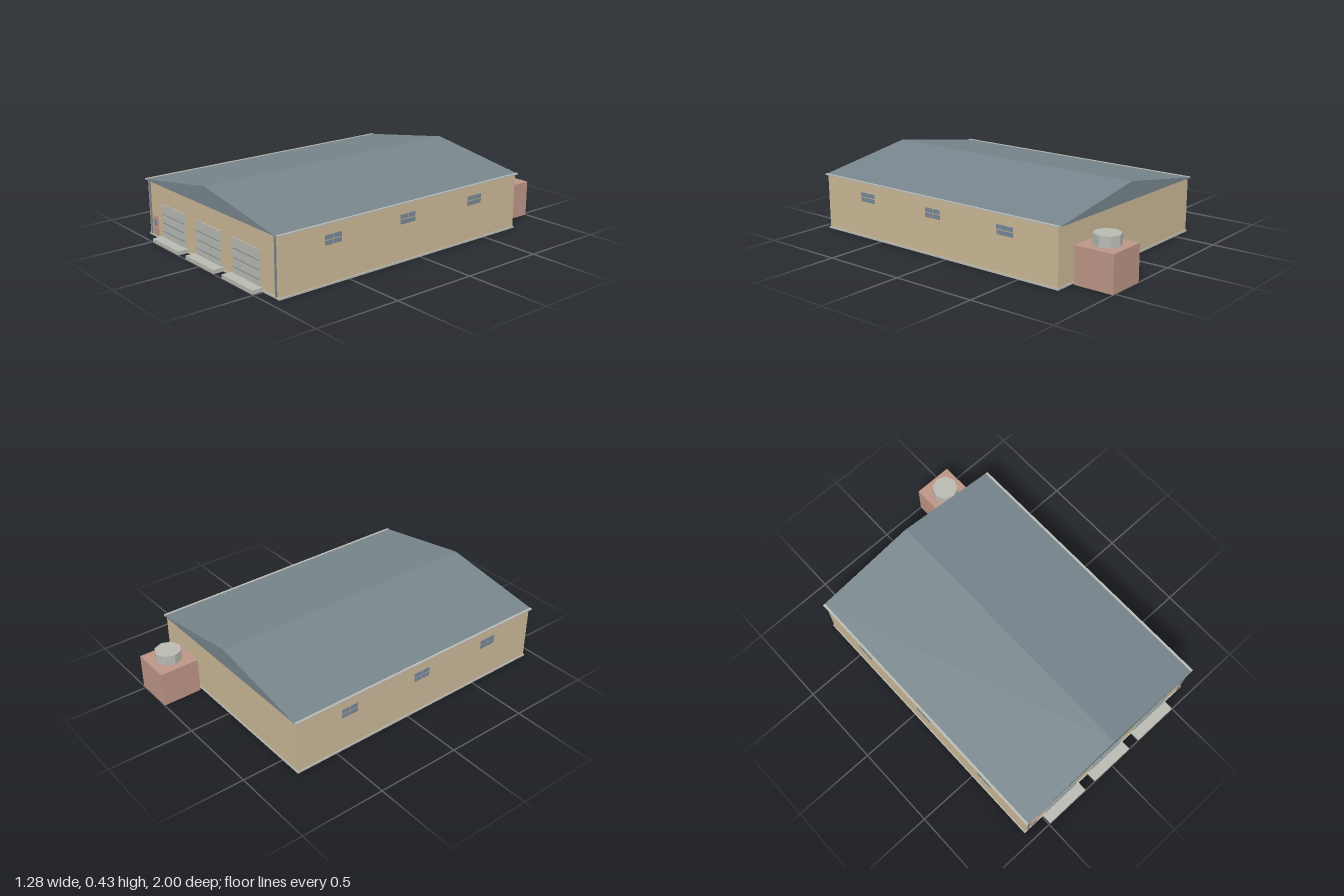
import * as THREE from 'three';

const paint = (name, color) => {
  const m = new THREE.MeshStandardMaterial({ color });
  m.name = name;
  return m;
};

export function createModel() {
  const building = new THREE.Group();
  building.name = 'warehouse';
  const wall = paint('tan wall', 0xc9b796);
  const metal = paint('roof slate', 0x77858c);
  const concrete = paint('pale grey', 0xb8b9b1);
  const brick = paint('dusty red', 0xbc9486);
  const glass = paint('blue grey glass', 0x778896);

  // Box given by its limits on each axis
  const box = (name, mat, [x0, x1], [y0, y1], [z0, z1], parent = building) => {
    const mesh = new THREE.Mesh(new THREE.BoxGeometry(x1 - x0, y1 - y0, z1 - z0), mat);
    mesh.position.set((x0 + x1) / 2, (y0 + y1) / 2, (z0 + z1) / 2);
    mesh.name = name;
    parent.add(mesh);
    return mesh;
  };
  const group = (name) => {
    const g = new THREE.Group();
    g.name = name;
    building.add(g);
    return g;
  };

  // Main hall on a low plinth
  box('plinth', concrete, [-0.636, 0.636], [0, 0.01], [-0.755, 0.942]);
  box('walls', wall, [-0.63, 0.63], [0.01, 0.33], [-0.75, 0.936]);

  // Shallow gable roof
  const gable = new THREE.Shape([
    new THREE.Vector2(-0.641, 0.328),
    new THREE.Vector2(0.641, 0.328),
    new THREE.Vector2(0, 0.432),
  ]);
  const roof = new THREE.Mesh(
    new THREE.ExtrudeGeometry(gable, { depth: 1.714, bevelEnabled: false }), metal);
  roof.position.z = -0.763;
  roof.name = 'roof';
  building.add(roof);

  // Gutters and front downpipes
  for (const s of [-1, 1]) {
    const gx = [0.627, 0.641].map((v) => v * s).sort((a, b) => a - b);
    box('gutter', concrete, gx, [0.325, 0.333], [-0.762, 0.95]);
    box('downpipe', metal, [s * 0.607 - 0.005, s * 0.607 + 0.005], [0.01, 0.328], [0.934, 0.943]);
  }

  // Three loading bays: ribbed shutter and dock slab
  for (const x of [-0.354, 0, 0.354]) {
    const bay = group('loadingBay');
    box('shutter', concrete, [x - 0.12, x + 0.12], [0.008, 0.218], [0.934, 0.941], bay);
    for (const y of [0.058, 0.109, 0.16]) {
      box('shutterSeam', glass, [x - 0.115, x + 0.115], [y - 0.002, y + 0.002], [0.938, 0.943], bay);
    }
    box('dock', concrete, [x - 0.139, x + 0.139], [0, 0.022], [0.936, 1], bay);
  }

  // Staff door with window and handle
  const door = group('staffDoor');
  box('doorLeaf', brick, [-0.583, -0.533], [0.012, 0.128], [0.934, 0.941], door);
  box('doorWindow', glass, [-0.573, -0.543], [0.072, 0.106], [0.938, 0.943], door);
  box('doorHandle', concrete, [-0.544, -0.538], [0.059, 0.065], [0.938, 0.945], door);

  // Four-pane windows along both sides
  for (const s of [-1, 1]) {
    for (const z of [0.6, 0.095, -0.41]) {
      const win = group('sideWindow');
      for (const dz of [-0.028, 0.028]) {
        for (const [y0, y1] of [[0.215, 0.239], [0.244, 0.268]]) {
          box('pane', glass, [s * 0.631 - 0.003, s * 0.631 + 0.003], [y0, y1],
            [z + dz - 0.025, z + dz + 0.025], win);
        }
      }
    }
  }

  // Rear equipment block with an octagonal vent
  box('equipmentBlock', brick, [0.284, 0.518], [0, 0.21], [-1, -0.766]);
  const vent = new THREE.Mesh(new THREE.CylinderGeometry(0.077, 0.077, 0.06, 8), concrete);
  vent.material.flatShading = true;
  vent.position.set(0.401, 0.24, -0.883);
  vent.name = 'vent';
  building.add(vent);

  return building;
}
